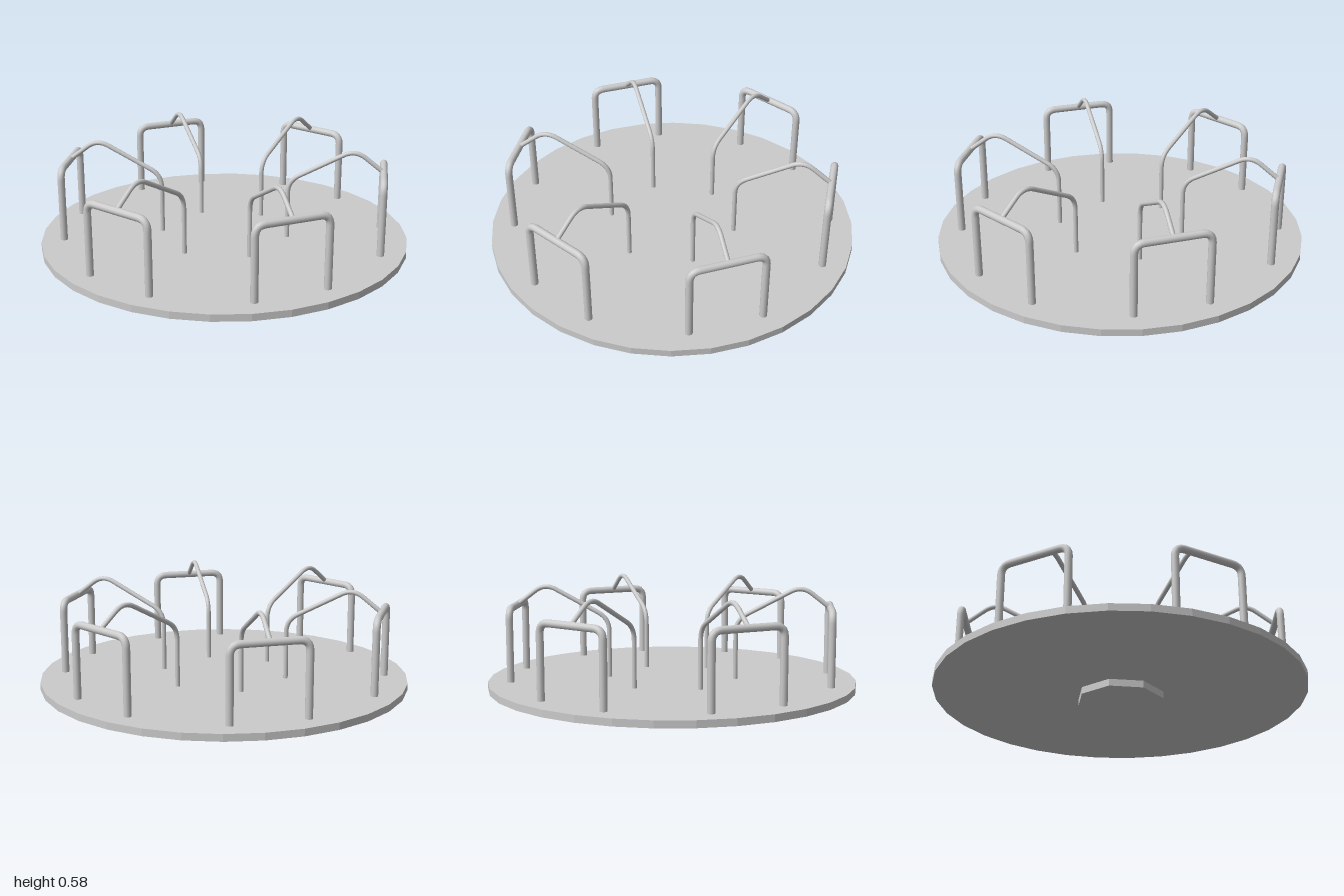
import * as THREE from 'three';

const metal = new THREE.MeshStandardMaterial({ color: 0xcccccc, side: THREE.DoubleSide });
const flat = new THREE.MeshStandardMaterial({ color: 0xcccccc, flatShading: true });

// Bent pipe: straight runs joined by rounded corners
function pipe(name, corners, bend, radius) {
  const pts = corners.map((c) => new THREE.Vector3(...c));
  const path = new THREE.CurvePath();
  let from = pts[0];
  for (let i = 1; i < pts.length - 1; i++) {
    const p = pts[i];
    const toward = (q) => p.clone().add(q.clone().sub(p).setLength(bend));
    const a = toward(pts[i - 1]);
    const b = toward(pts[i + 1]);
    path.add(new THREE.LineCurve3(from, a));
    path.add(new THREE.QuadraticBezierCurve3(a, p, b));
    from = b;
  }
  path.add(new THREE.LineCurve3(from, pts[pts.length - 1]));
  const mesh = new THREE.Mesh(new THREE.TubeGeometry(path, 72, radius, 12), metal);
  mesh.name = name;
  return mesh;
}

// Flat disc standing between two heights
function disc(name, radius, y0, y1, sides) {
  const mesh = new THREE.Mesh(new THREE.CylinderGeometry(radius, radius, y1 - y0, sides), flat);
  mesh.position.y = (y0 + y1) / 2;
  mesh.name = name;
  return mesh;
}

export function createModel() {
  const model = new THREE.Group();
  model.name = 'merryGoRound';

  // Ground hub and turning deck
  model.add(disc('hub', 0.235, 0, 0.04, 8));
  model.add(disc('deck', 1, 0.038, 0.076, 32));

  // Six handrails, each an outer hoop with a bent brace running inward
  for (let i = 0; i < 6; i++) {
    const rail = new THREE.Group();
    rail.name = `handrail${i + 1}`;
    rail.add(pipe('hoop', [
      [-0.198, 0.06, 0.855], [-0.198, 0.47, 0.855], [0.198, 0.47, 0.855], [0.198, 0.06, 0.855],
    ], 0.055, 0.02));
    rail.add(pipe('brace', [
      [0, 0.06, 0.346], [0, 0.4, 0.346], [0, 0.59, 0.7], [0, 0.47, 0.855],
    ], 0.07, 0.0125));
    rail.rotation.y = (i * Math.PI) / 3;
    model.add(rail);
  }
  return model;
}
